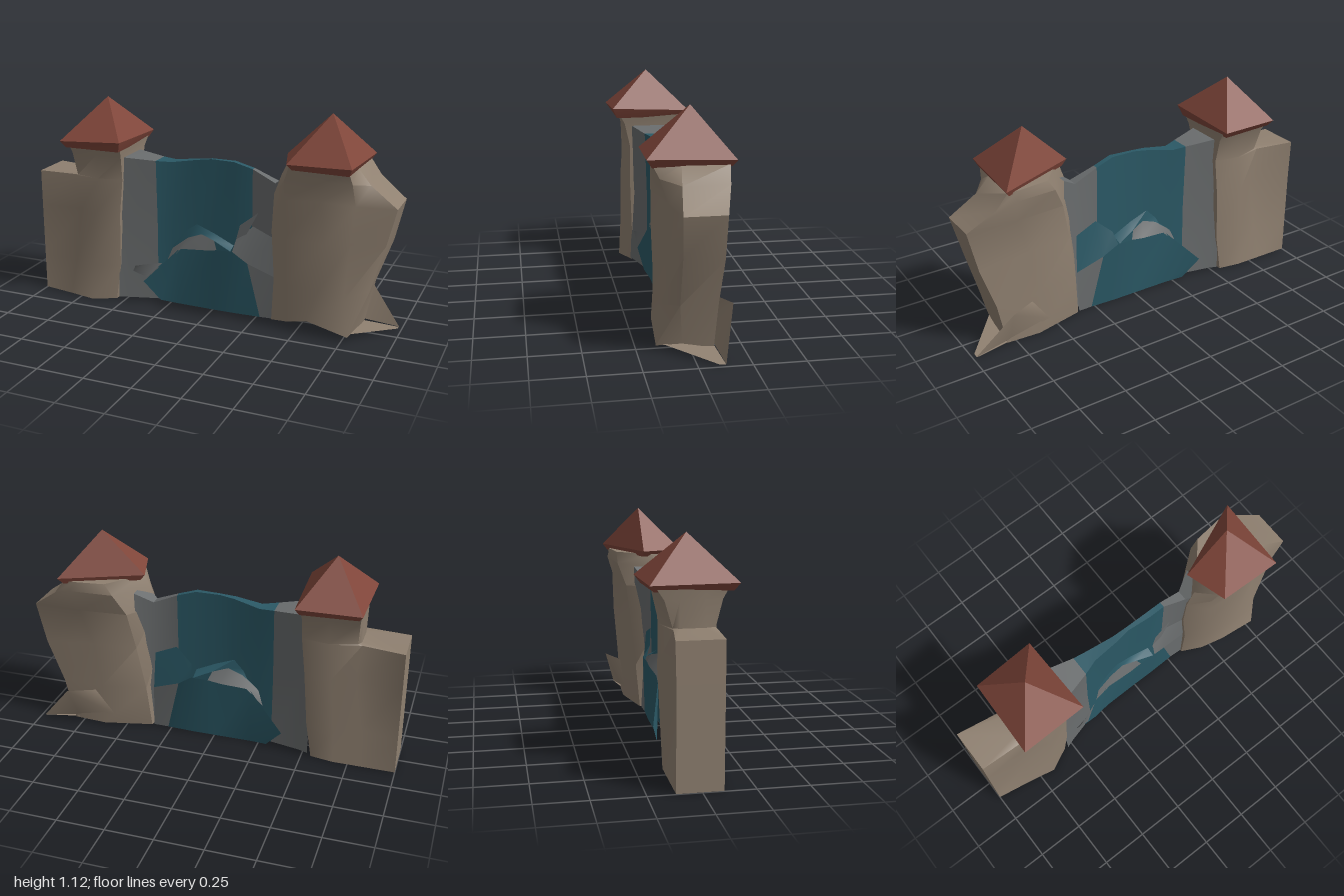
import * as THREE from 'three';
import { toCreasedNormals } from 'three/addons/utils/BufferGeometryUtils.js';

const mat = (name, color, side = THREE.DoubleSide) => {
  const m = new THREE.MeshStandardMaterial({ color, side });
  m.name = name;
  return m;
};

// Skin a stack of point rows; closed rows wrap around and get end caps.
function skin(rows, closed, crease) {
  const pos = [];
  const tri = (a, b, c) => pos.push(...a, ...b, ...c);
  const n = rows[0].length;
  for (let r = 0; r < rows.length - 1; r++) {
    for (let i = 0; i < (closed ? n : n - 1); i++) {
      const j = (i + 1) % n;
      const [a, b, c, d] = [rows[r][i], rows[r][j], rows[r + 1][j], rows[r + 1][i]];
      tri(a, b, c);
      tri(a, c, d);
    }
  }
  if (closed) {
    const cap = (row, flip) => {
      const mid = [0, 1, 2].map(k => row.reduce((s, p) => s + p[k], 0) / n);
      row.forEach((p, i) => {
        const q = row[(i + 1) % n];
        if (flip) tri(mid, q, p); else tri(mid, p, q);
      });
    };
    cap(rows[0], true);
    cap(rows[rows.length - 1], false);
  }
  const g = new THREE.BufferGeometry();
  g.setAttribute('position', new THREE.Float32BufferAttribute(pos, 3));
  return toCreasedNormals(g, crease);
}

export function createModel() {
  const model = new THREE.Group();
  model.name = 'castleGate';
  const stone = mat('stone', 0x8f8070);
  const tile = mat('roofTile', 0x80463a);
  const teal = mat('tealGate', 0x2b5966);
  const grey = mat('greyStone', 0x6a6d6e);
  const add = (name, rows, m, closed = false, crease = 0.9) => {
    const mesh = new THREE.Mesh(skin(rows, closed, crease), m);
    mesh.name = name;
    model.add(mesh);
  };
  // Ring of [x, z] pairs at one height
  const ring = (y, pts) => pts.map(([x, z]) => [x, y, z]);

  // Right tower: low outer block that narrows into a turret
  add('rightTower', [
    ring(0.005, [[-1, .1], [-.82, .13], [-.67, .16], [-.55, .1], [-.55, -.1], [-.67, -.12], [-.82, -.12], [-1, -.12]]),
    ring(0.2, [[-1, .1], [-.8, .09], [-.67, .15], [-.52, .1], [-.52, -.1], [-.67, -.13], [-.8, -.08], [-1, -.12]]),
    ring(0.5, [[-1, .1], [-.76, .09], [-.64, .15], [-.51, .11], [-.5, -.11], [-.64, -.14], [-.76, -.07], [-1, -.12]]),
    ring(0.695, [[-1, .1], [-.78, .11], [-.62, .14], [-.49, .11], [-.48, -.11], [-.62, -.13], [-.78, -.09], [-1, -.125]]),
    ring(0.7, [[-.775, .06], [-.76, .11], [-.62, .14], [-.49, .11], [-.48, -.11], [-.62, -.13], [-.76, -.09], [-.775, -.06]]),
    ring(0.83, [[-.775, .06], [-.77, .14], [-.62, .15], [-.48, .14], [-.48, -.14], [-.62, -.15], [-.77, -.13], [-.775, -.06]]),
    ring(0.89, [[-.78, .06], [-.78, .17], [-.62, .17], [-.47, .17], [-.47, -.18], [-.62, -.17], [-.78, -.17], [-.78, -.06]]),
  ], stone, true);

  // Left tower: wide shoulder leaning outward, arched foot
  add('leftTower', [
    [[.34, .01, .05], [.44, .04, .11], [.56, .08, .15], [.78, .03, .16], [.8, .04, .04], [.8, .01, -.11], [.62, .01, -.12], [.36, .01, -.06]],
    [[.35, .25, .05], [.43, .25, .12], [.62, .25, .15], [.75, .22, .14], [.86, .25, .06], [.85, .25, -.12], [.62, .25, -.13], [.38, .25, -.08]],
    [[.33, .5, .04], [.43, .5, .13], [.64, .5, .15], [.76, .5, .1], [.93, .5, .06], [.93, .48, -.13], [.66, .5, -.12], [.42, .5, -.1]],
    [[.34, .7, .04], [.42, .7, .13], [.62, .72, .15], [.78, .7, .1], [.98, .7, .07], [.98, .7, -.13], [.72, .7, -.14], [.46, .7, -.12]],
    [[.38, .81, .04], [.42, .8, .13], [.62, .82, .15], [.77, .82, .14], [.84, .8, .05], [.84, .8, -.17], [.74, .83, -.19], [.52, .82, -.16]],
    [[.41, .88, .02], [.45, .88, .15], [.62, .88, .17], [.76, .88, .17], [.77, .88, .04], [.78, .88, -.18], [.72, .88, -.18], [.56, .88, -.16]],
  ], stone, true);

  // Folded spur at the back of the left tower's foot
  add('footSpur', [
    [[.56, .08, -.12], [.78, .03, -.11], [.98, .005, -.13]],
    [[.66, .22, -.13], [.8, .225, -.2], [.98, .007, -.13]],
  ], stone);
  add('footSpurBase', [
    [[.78, .04, .14], [.98, .006, -.1]],
    [[.76, .02, -.11], [.98, .003, -.13]],
  ], stone);

  // Pyramid roofs: inset underside, thin sloping rim, apex
  const roof = (name, eave, [ax, ay, az], lifts) => {
    const toward = t => eave.map(([x, z], i) => [x + (ax - x) * t, lifts[i], z + (az - z) * t]);
    const under = toward(0.12).map(([x, , z]) => [x, 0.868, z]);
    const tip = eave.map(() => [ax, ay, az]);
    add(name, [under, toward(0), tip], tile, true, 0.35);
  };
  roof('rightRoof', [[-.8, .215], [-.45, .21], [-.46, -.22], [-.79, -.2]], [-.62, 1.12, 0], [.905, .925, .905, .9]);
  roof('leftRoof', [[.45, .19], [.78, .2], [.8, -.21], [.385, -.03]], [.615, 1.125, -.025], [.9, .91, .9, .9]);

  // Curtain wall columns: x, front z, back z, top y
  const cols = [
    [-.53, .12, -.11, .82], [-.48, .1, -.09, .82], [-.32, .05, -.055, .805], [-.24, .02, -.045, .8], [-.1, .015, -.02, .825],
    [-.02, .005, -.015, .835], [.11, .015, -.015, .835], [.21, .005, -.025, .805],
    [.34, .025, -.03, .75], [.43, .08, -.08, .81],
  ];
  const wall = (name, from, to, m) => {
    const part = cols.slice(from, to + 1);
    const row = (f, k, squeeze) => part.map(([x, zf, zb, top]) =>
      [x, 0.02 + (top - 0.02) * f, (k ? zb : zf) * squeeze]);
    add(name + 'Front', [row(0, 0, .9), row(.5, 0, .75), row(1, 0, 1)], m);
    add(name + 'Back', [row(1, 1, 1), row(.5, 1, .75), row(0, 1, .9)], m);
    add(name + 'Top', [row(1, 0, 1), row(1, 1, 1)], m);
  };
  wall('rightWall', 0, 2, grey);
  wall('gate', 2, 7, teal);
  wall('leftWall', 7, 9, grey);

  // Lower skirts and ledges on both faces of the gate
  for (const [side, s] of [['front', 1], ['back', -1.35]]) {
    const at = pts => pts.map(([x, y, z]) => [x, y, z * s]);
    const sheet = (name, low, high, m) =>
      add(side + name, s > 0 ? [at(low), at(high)] : [at(high), at(low)], m);
    sheet('Skirt',
      [[-.3, .02, .06], [-.2, .01, .045], [0, .005, .04], [.12, .005, .04], [.27, .005, .035]],
      [[-.39, .125, .085], [-.2, .32, .04], [.02, .355, .055], [.12, .36, .06], [.2, .3, .045]], teal);
    sheet('SkirtEnd',
      [[.27, .005, .035], [.35, .01, .04]],
      [[.2, .3, .045], [.35, .24, .03]], grey);
    sheet('SkirtShoulder',
      [[.12, .36, .06], [.2, .3, .045], [.35, .24, .03]],
      [[.13, .42, .03], [.22, .5, .015], [.34, .45, .02]], s > 0 ? grey : teal);
    sheet('Ledge',
      [[-.27, .24, .04], [-.18, .33, .045], [-.04, .345, .055], [.03, .355, .055]],
      [[-.24, .32, .025], [-.15, .39, .02], [-.07, .42, .02], [.01, .4, .04]], grey);
    sheet('Brow',
      [[-.24, .32, .025], [-.15, .39, .02], [-.07, .42, .02], [.01, .4, .04], [.11, .36, .06]],
      [[-.24, .33, .015], [-.16, .43, .014], [-.1, .47, .012], [0, .43, .01], [.11, .38, .014]], teal);
  }

  // Small fold beside the right tower and a slanted strip beside the gate
  add('rightFold', [
    [[-.45, .18, .09], [-.37, .155, .09], [-.33, .2, .07]],
    [[-.43, .215, .1], [-.38, .225, .085], [-.29, .235, .05]],
  ], grey);
  add('slantedStrip', [
    [[.125, .4, .03], [.17, .42, .03]],
    [[.15, .5, .025], [.25, .58, .022]],
  ], grey);

  return model;
}
